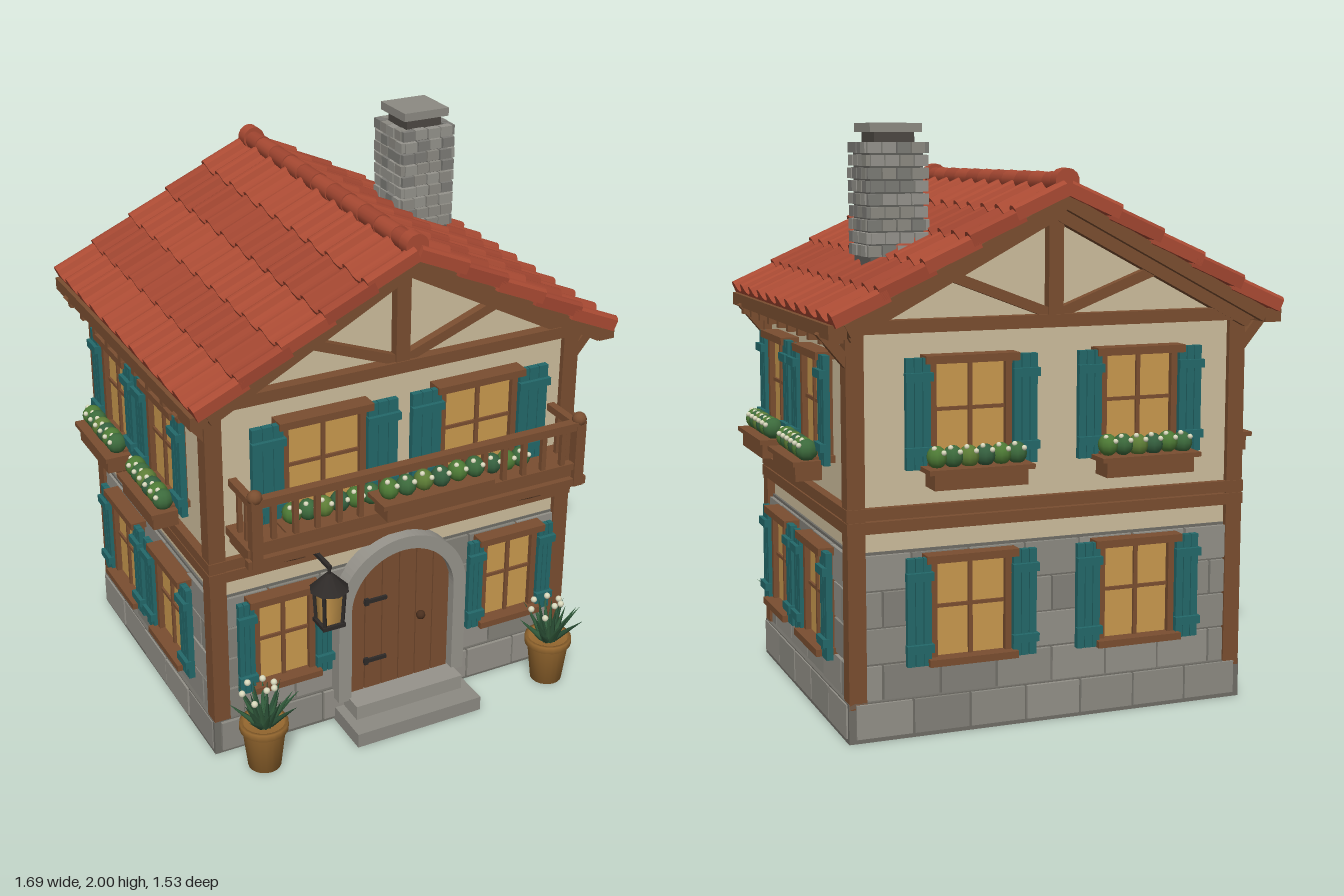
import * as THREE from 'three';

const CZ = -0.07; // middle of the house in z
const mats = {};
const mat = (c) => mats[c] ??= new THREE.MeshStandardMaterial({ color: c, roughness: 0.9 });
const WOOD = 0x7a4e30, DARK = 0x4a2f1e, PLASTER = 0xcdbd9c, STONE = 0x8c8a82, MORTAR = 0x6f6d66,
  TEAL = 0x23686a, GLASS = 0xc9994e, TILE = 0xa94a33, IRON = 0x2e2a28, POT = 0x96682f;
const GREENS = [0x4d7a35, 0x3c6a3c, 0x5d7d36, 0x35603f];

let seed = 7;
const rnd = () => (seed = (seed * 16807) % 2147483647) / 2147483647;

function add(parent, name, geo, color, x = 0, y = 0, z = 0) {
  const m = new THREE.Mesh(geo, mat(color));
  m.name = name;
  m.position.set(x, y, z);
  parent.add(m);
  return m;
}
const box = (p, name, c, w, h, d, x, y, z) => add(p, name, new THREE.BoxGeometry(w, h, d), c, x, y, z);
const ball = (p, name, c, r, x, y, z) => add(p, name, new THREE.SphereGeometry(r, 10, 8), c, x, y, z);
const cyl = (p, name, c, r1, r2, h, n, x, y, z) => add(p, name, new THREE.CylinderGeometry(r1, r2, h, n), c, x, y, z);

// Square timber from point a to point b
function beam(p, name, c, a, b, w, h) {
  const A = new THREE.Vector3(...a), B = new THREE.Vector3(...b);
  const m = new THREE.Mesh(new THREE.BoxGeometry(w, h, A.distanceTo(B)), mat(c));
  m.name = name;
  m.position.copy(A).lerp(B, 0.5);
  m.lookAt(B);
  p.add(m);
  return m;
}
function group(parent, name, x = 0, y = 0, z = 0, ry = 0) {
  const g = new THREE.Group();
  g.name = name;
  g.position.set(x, y, z);
  g.rotation.y = ry;
  parent.add(g);
  return g;
}

// Trough of round bushes with small blossoms
function planter(p, w, x, y, z) {
  const g = group(p, 'flowerBox', x, y, z);
  box(g, 'trough', WOOD, w - 0.04, 0.06, 0.09, 0, 0.03, 0);
  box(g, 'troughRim', WOOD, w, 0.016, 0.115, 0, 0.06, 0);
  for (let i = 0; i < 6; i++) {
    const bx = (i - 2.5) * (w - 0.03) / 6;
    ball(g, 'bush', GREENS[i % 4], 0.037, bx, 0.095 + rnd() * 0.008, 0).scale.x = 0.9;
    ball(g, 'blossom', 0xd8d8bc, 0.009, bx - 0.012, 0.13, 0.012);
    ball(g, 'blossom', 0xd8d8bc, 0.009, bx + 0.014, 0.118, 0.03);
  }
}

// Window with cross bars, sill, lintel and open shutters
function windowUnit(p, x, y, w, sw, withBox) {
  const g = group(p, 'window', x, y, 0), h = 0.33;
  box(g, 'pane', GLASS, w, h, 0.02, 0, 0, 0.01);
  for (const s of [-1, 1]) {
    box(g, 'jamb', WOOD, 0.022, h, 0.04, s * w / 2, 0, 0.02);
    const sh = group(g, 'shutter', s * (w / 2 + 0.012 + sw / 2), 0, 0.042);
    for (let i = 0; i < 3; i++)
      box(sh, 'shutterBoard', TEAL, sw / 3 - 0.003, 0.36, 0.022, (i - 1) * sw / 3, 0, 0);
    for (const t of [-1, 1]) box(sh, 'shutterBatten', TEAL, sw + 0.008, 0.028, 0.022, 0, t * 0.12, 0.014);
  }
  box(g, 'mullion', WOOD, 0.014, h, 0.03, 0, 0, 0.015);
  box(g, 'glazingBar', WOOD, w, 0.012, 0.028, 0, 0.01, 0.014);
  box(g, 'lintel', WOOD, w + 0.06, 0.026, 0.065, 0, h / 2 + 0.008, 0.03);
  box(g, 'sill', WOOD, w + 0.05, 0.024, 0.075, 0, -h / 2 - 0.005, 0.035);
  if (withBox) planter(g, w + 0.1, 0, -0.235, 0.09);
}

// Coursed stonework on one wall
function stonework(p, width) {
  for (let r = 0; r < 5; r++) {
    const y0 = r ? 0.135 + (r - 1) * 0.123 : 0.015, n = Math.round(width / 0.21), step = width / n;
    const out = r ? 0 : 0.017;
    for (let i = 0; i <= n; i++) {
      const a = Math.max(-width / 2, -width / 2 + (i - (r % 2) * 0.5) * step);
      const b = Math.min(width / 2, -width / 2 + (i + 1 - (r % 2) * 0.5) * step);
      if (b - a < 0.02) continue;
      box(p, 'stoneBlock', [STONE, 0x838179, 0x939088][Math.floor(rnd() * 3)],
        b - a - 0.008, 0.114, 0.02, (a + b) / 2, y0 + 0.059, out - 0.006 + rnd() * 0.005);
    }
  }
}

function arch(r, y0, y1) {
  const s = new THREE.Shape();
  s.moveTo(-r, y0).lineTo(r, y0).lineTo(r, y1).absarc(0, y1, r, 0, Math.PI, false).lineTo(-r, y0);
  return s;
}

function buildDoor(p) {
  const g = group(p, 'door');
  const frame = arch(0.255, 0.1, 0.465);
  frame.holes.push(arch(0.205, 0.1, 0.465));
  add(g, 'doorSurround', new THREE.ExtrudeGeometry(frame, { depth: 0.065, bevelEnabled: false, curveSegments: 20 }), 0x96938b);
  add(g, 'doorBacking', new THREE.ExtrudeGeometry(arch(0.206, 0.1, 0.465), { depth: 0.02, bevelEnabled: false }), DARK);
  for (let i = 0; i < 6; i++) {
    const a = -0.205 + i * 0.0683, b = a + 0.064, s = new THREE.Shape();
    const top = (x) => 0.465 + Math.sqrt(Math.max(0, 0.205 ** 2 - x * x));
    s.moveTo(a, 0.11).lineTo(b, 0.11);
    for (let k = 4; k >= 0; k--) s.lineTo(a + (b - a) * k / 4, top(a + (b - a) * k / 4));
    add(g, 'doorPlank', new THREE.ExtrudeGeometry(s, { depth: 0.035, bevelEnabled: false }), WOOD);
  }
  for (const y of [0.23, 0.48]) {
    box(g, 'hinge', IRON, 0.09, 0.014, 0.01, -0.1, y, 0.04);
    box(g, 'hingeEnd', IRON, 0.016, 0.026, 0.012, -0.135, y, 0.04);
  }
  ball(g, 'doorKnob', DARK, 0.017, 0.08, 0.37, 0.05);
  box(g, 'lowerStep', STONE, 0.5, 0.055, 0.2, 0, 0.0275, 0.105);
  box(g, 'upperStep', 0x96938b, 0.43, 0.055, 0.12, 0, 0.0825, 0.065);
}

function buildBalcony(p) {
  const g = group(p, 'balcony');
  box(g, 'balconyFloor', WOOD, 1.29, 0.03, 0.18, 0, 0.89, 0.565);
  box(g, 'balconyBeam', WOOD, 1.3, 0.03, 0.03, 0, 0.855, 0.655);
  box(g, 'handrail', WOOD, 1.26, 0.03, 0.035, 0, 1.075, 0.655);
  box(g, 'lowerRail', WOOD, 1.26, 0.025, 0.025, 0, 0.918, 0.655);
  for (let i = 0; i < 15; i++) box(g, 'baluster', WOOD, 0.018, 0.15, 0.018, (i - 7) * 0.079, 0.99, 0.655);
  for (const s of [-1, 1]) {
    box(g, 'balconyPost', WOOD, 0.038, 0.25, 0.038, s * 0.617, 0.965, 0.655);
    ball(g, 'postKnob', WOOD, 0.026, s * 0.617, 1.095, 0.655);
    box(g, 'sideRail', WOOD, 0.028, 0.026, 0.18, s * 0.617, 1.065, 0.565);
    box(g, 'sideBeam', WOOD, 0.03, 0.03, 0.18, s * 0.617, 0.855, 0.565);
    for (const z of [0.53, 0.59]) box(g, 'sideBaluster', WOOD, 0.016, 0.16, 0.016, s * 0.617, 0.98, z);
    beam(g, 'balconyBrace', DARK, [s * 0.457, 0.735, 0.48], [s * 0.457, 0.84, 0.645], 0.035, 0.035);
  }
  planter(g, 0.42, 0, 0.945, 0.712);
}

// Profile of one tile row: sagging pans between round rolls
function tileShape(half, pitch) {
  const s = new THREE.Shape(), n = 126, pts = [];
  for (let i = 0; i <= n; i++) {
    const x = -half + 2 * half * i / n, t = x / pitch - Math.round(x / pitch), u = Math.abs(t) / 0.2;
    const h = u < 1 ? 0.012 + 0.026 * Math.sqrt(1 - u * u) : 0.012 - 0.01 * Math.sin((Math.abs(t) - 0.2) / 0.6 * Math.PI);
    pts.push(new THREE.Vector2(x, h));
  }
  s.moveTo(half, -0.014).setFromPoints([new THREE.Vector2(-half, -0.014), new THREE.Vector2(half, -0.014), ...pts.reverse()]);
  return s;
}

function buildRoof(p) {
  const g = group(p, 'roof', 0, 0, -0.073), a = Math.atan(0.53), L = 0.877;
  const row = new THREE.ExtrudeGeometry(tileShape(0.672, 0.13), { depth: 0.195, bevelEnabled: false });
  for (const s of [0, 1]) {
    const side = group(g, 'roofSide', 0, 1.783, 0, s * Math.PI);
    const slope = group(side, 'slope');
    slope.rotation.set(0, Math.PI / 2, 0);
    const pitchG = group(slope, 'pitch');
    pitchG.rotation.x = a;
    for (let i = 0; i < 5; i++) {
      const m = add(pitchG, 'tileRow', row, [TILE, 0xa04530][i % 2], 0, 0, i * 0.1705);
      m.rotation.x = -0.075;
    }
    box(pitchG, 'roofDeck', WOOD, 1.3, 0.026, L - 0.03, 0, -0.022, (L - 0.03) / 2);
    for (const e of [-1, 1]) box(pitchG, 'bargeBoard', WOOD, 0.03, 0.045, L - 0.03, e * 0.64, -0.03, (L - 0.03) / 2);
    for (const e of [-1, 1]) box(pitchG, 'gableRafter', WOOD, 0.05, 0.06, L - 0.04, e * 0.55, -0.055, (L - 0.04) / 2);
    // Eave plate, rafter tails and corner braces
    box(side, 'eavePlate', WOOD, 0.06, 0.045, 1.3, 0.765, -0.425, 0);
    for (let i = 0; i < 9; i++) box(side, 'rafterTail', WOOD, 0.11, 0.035, 0.028, 0.735, -0.455, (i - 4) * 0.13);
    for (const e of [-1, 1]) beam(side, 'eaveBrace', WOOD, [0.69, -0.55, e * 0.53], [0.79, -0.43, e * 0.53], 0.035, 0.035);
  }
  // Ridge caps with larger end caps
  for (let i = 0; i < 11; i++)
    cyl(g, 'ridgeCap', i % 2 ? TILE : 0xa04530, 0.036, 0.032, 0.13, 14, 0, 1.808, (i - 5) * 0.117).rotation.x = Math.PI / 2;
  for (const e of [-1, 1]) cyl(g, 'ridgeEnd', TILE, 0.042, 0.042, 0.05, 14, 0, 1.814, e * 0.63).rotation.x = Math.PI / 2;
}

function buildChimney(p) {
  const g = group(p, 'chimney', 0.445, 0, -0.245);
  box(g, 'chimneyCore', 0x5f5e5a, 0.185, 0.44, 0.185, 0, 1.71, 0);
  for (let r = 0; r < 9; r++)
    for (let f = 0; f < 4; f++) {
      const face = group(g, 'brickFace', 0, 1.58 + r * 0.0425, 0, f * Math.PI / 2);
      for (let i = 0; i < 4; i++)
        box(face, 'brick', [STONE, 0x7c7b76, 0x95938c][Math.floor(rnd() * 3)], 0.046, 0.036, 0.03,
          (i - 1.5) * 0.051 + (r % 2 ? 0.005 : -0.005), 0, 0.092 + rnd() * 0.006);
    }
  box(g, 'chimneyNeck', 0x4c4843, 0.14, 0.04, 0.14, 0, 1.95, 0);
  box(g, 'chimneyCap', STONE, 0.18, 0.03, 0.18, 0, 1.985, 0);
}

function buildLantern(p) {
  const g = group(p, 'lantern', -0.335, 0, 0.62);
  box(g, 'lanternArm', IRON, 0.014, 0.014, 0.14, 0, 0.74, -0.065);
  cyl(g, 'lanternHook', IRON, 0.006, 0.006, 0.04, 6, 0, 0.725, 0);
  cyl(g, 'lanternRoof', IRON, 0.012, 0.07, 0.06, 8, 0, 0.685, 0);
  cyl(g, 'lanternGlass', GLASS, 0.05, 0.042, 0.125, 4, 0, 0.59, 0).rotation.y = Math.PI / 4;
  box(g, 'lanternBase', IRON, 0.085, 0.014, 0.085, 0, 0.522, 0);
  for (const x of [-1, 1]) for (const z of [-1, 1])
    beam(g, 'lanternBar', IRON, [x * 0.033, 0.52, z * 0.033], [x * 0.039, 0.655, z * 0.039], 0.011, 0.011);
}

function buildPot(p, x) {
  const g = group(p, 'pottedPlant', x, 0, 0.605);
  const prof = [[0, 0], [0.058, 0], [0.076, 0.15], [0.086, 0.153], [0.086, 0.18], [0.074, 0.18], [0.07, 0.165], [0, 0.165]];
  add(g, 'pot', new THREE.LatheGeometry(prof.map((q) => new THREE.Vector2(...q)), 20), POT);
  const leaf = new THREE.ConeGeometry(0.014, 0.15, 5).translate(0, 0.075, 0);
  for (let i = 0; i < 20; i++) {
    const t = i * 2.4, tilt = 0.12 + (i / 20) * 0.85;
    const m = add(g, 'leaf', leaf, i % 2 ? 0x35603f : 0x2c5137, Math.sin(t) * 0.02, 0.17, Math.cos(t) * 0.02);
    m.rotation.set(tilt, t, 0, 'YXZ');
    if (i % 3 === 0) ball(g, 'blossom', 0xd8d8bc, 0.012, Math.sin(t) * (0.03 + i * 0.003), 0.325 - i * 0.001, Math.cos(t) * (0.03 + i * 0.003));
  }
}

// King post and struts on a gable wall
function gableTimbers(p) {
  box(p, 'tieBeam', WOOD, 1.5, 0.042, 0.045, 0, 1.36, 0.012);
  box(p, 'kingPost', WOOD, 0.052, 0.36, 0.04, 0, 1.56, 0.01);
  for (const s of [-1, 1]) beam(p, 'gableStrut', WOOD, [s * 0.02, 1.385, 0.008], [s * 0.4, 1.53, 0.008], 0.032, 0.034);
}

export function createModel() {
  const house = new THREE.Group();
  house.name = 'house';

  // Walls with gables in one profile, over a stone ground floor
  box(house, 'foundation', MORTAR, 1.43, 0.135, 1.11, 0, 0.0675, CZ);
  box(house, 'stoneWall', MORTAR, 1.385, 0.5, 1.075, 0, 0.38, CZ);
  const wall = new THREE.Shape();
  wall.moveTo(-0.685, 0.5).lineTo(0.685, 0.5).lineTo(0.685, 1.38).lineTo(0, 1.745).lineTo(-0.685, 1.38);
  add(house, 'plasterWalls', new THREE.ExtrudeGeometry(wall, { depth: 1.07, bevelEnabled: false }), PLASTER, 0, 0, CZ - 0.535);

  // Corner posts and the double belt of beams between floors
  for (const x of [-1, 1]) for (const z of [-1, 1])
    box(house, 'cornerPost', WOOD, 0.06, 1.25, 0.06, x * 0.683, 0.74, CZ + z * 0.525);
  for (const y of [0.714, 0.758]) box(house, 'beltBeam', WOOD, 1.432, 0.039, 1.118, 0, y, CZ);

  const front = group(house, 'frontWall', 0, 0, 0.472);
  const back = group(house, 'backWall', 0, 0, -0.612, Math.PI);
  const left = group(house, 'leftWall', 0.697, 0, CZ, Math.PI / 2);
  const right = group(house, 'rightWall', -0.697, 0, CZ, -Math.PI / 2);
  for (const [w, width] of [[front, 1.39], [back, 1.39], [left, 1.09], [right, 1.09]]) stonework(w, width);
  for (const s of [-1, 1]) {
    windowUnit(front, s * 0.452, 0.43, 0.21, 0.06, false);
    windowUnit(front, s * 0.296, 1.08, 0.285, 0.115, true);
    for (const y of [0.43, 1.08]) {
      windowUnit(back, s * 0.3, y, 0.26, 0.085, y > 1);
      windowUnit(left, s * 0.222, y, 0.235, 0.075, y > 1);
      windowUnit(right, s * 0.222, y, 0.235, 0.075, y > 1);
    }
    buildPot(house, s * 0.58);
  }
  gableTimbers(front);
  gableTimbers(back);
  buildDoor(front);
  buildBalcony(house);
  buildLantern(house);
  buildRoof(house);
  buildChimney(house);
  return house;
}
